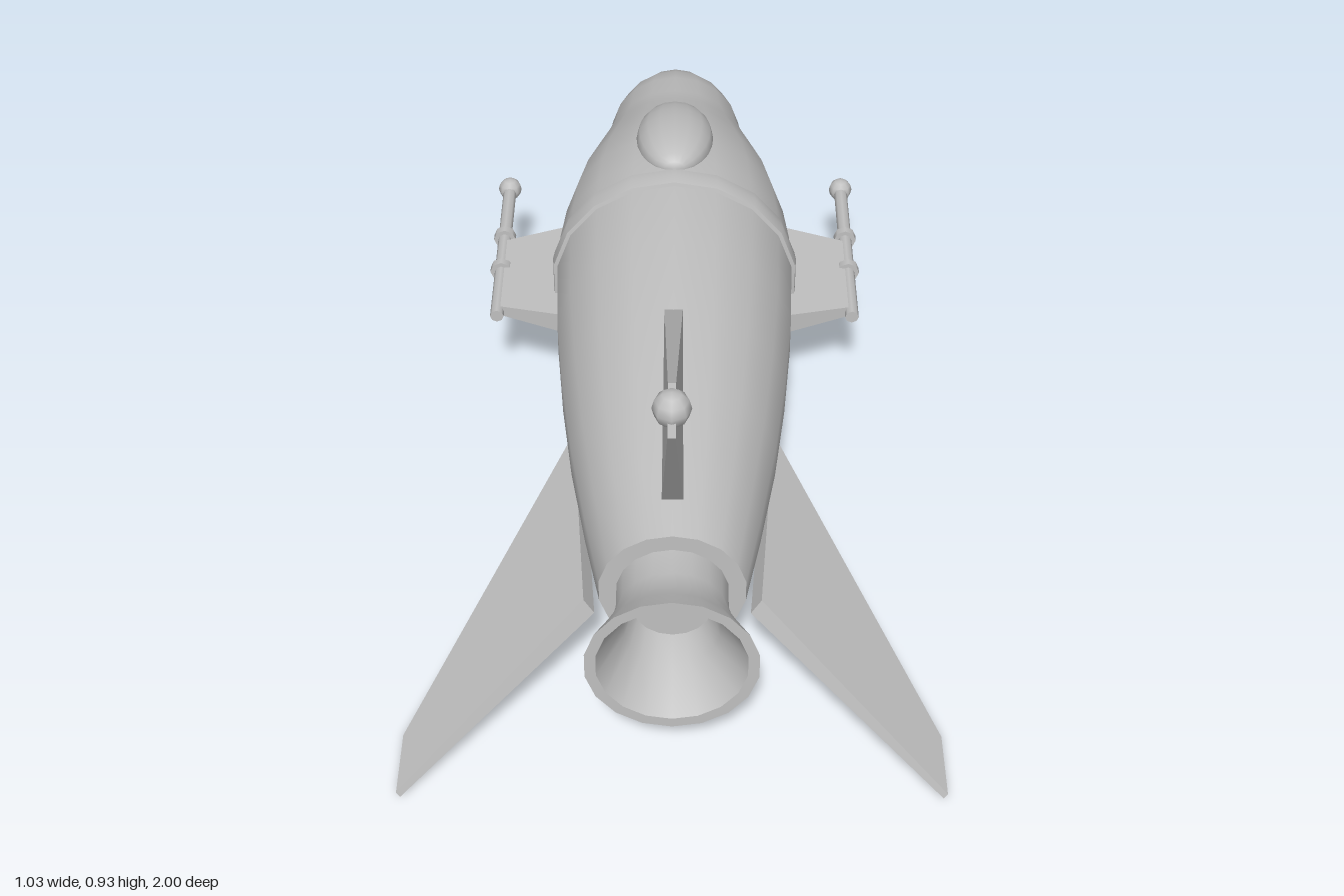
import * as THREE from 'three';
import { toCreasedNormals } from 'three/addons/utils/BufferGeometryUtils.js';
import { ConvexGeometry } from 'three/addons/geometries/ConvexGeometry.js';

const AXIS_Y = 0.305;

export function createModel() {
  const model = new THREE.Group();
  const grey = new THREE.MeshStandardMaterial({ color: 0xbfbfbf });
  grey.name = 'hull grey';

  const add = (name, geometry, parent = model) => {
    const mesh = new THREE.Mesh(geometry, grey);
    mesh.name = name;
    parent.add(mesh);
    return mesh;
  };

  // Turned part along z; profile is [z, radius] running from tail to nose
  const turned = (name, profile, sides = 18) => {
    const pts = profile.map(([z, r]) => new THREE.Vector2(r, -z));
    const geo = new THREE.LatheGeometry(pts, sides).rotateX(-Math.PI / 2);
    add(name, toCreasedNormals(geo, 0.6)).position.y = AXIS_Y;
  };

  // Tapered plate in the y-z plane; outline is [reach, z, halfThickness]
  const plate = (outline) => new ConvexGeometry(outline.flatMap(([r, z, t]) =>
    [new THREE.Vector3(-t, r, z), new THREE.Vector3(t, r, z)]));

  // Hull with closed tail, raised collar and pointed nose
  turned('hull', [
    [0.76, 0], [0.76, 0.14], [0.6, 0.172], [0.4, 0.207], [0.2, 0.233],
    [0, 0.252], [-0.19, 0.26], [-0.3, 0.258], [-0.4, 0.248], [-0.5, 0.228],
    [-0.6, 0.197], [-0.66, 0.178], [-0.72, 0.161], [-0.79, 0.152],
    [-0.85, 0.132], [-0.91, 0.099], [-0.96, 0.053], [-1, 0],
  ]);
  turned('collar', [[-0.185, 0.25], [-0.19, 0.268], [-0.215, 0.271], [-0.24, 0.268], [-0.26, 0.25]]);

  // Hollow flared engine nozzle
  turned('nozzle', [
    [0.8, 0], [0.8, 0.075], [0.86, 0.09], [0.95, 0.14], [0.95, 0.161],
    [0.9, 0.134], [0.86, 0.115], [0.82, 0.106], [0.75, 0.106],
  ]);

  // Cockpit bubble
  const canopy = add('canopy', new THREE.SphereGeometry(1, 16, 12).rotateX(Math.PI / 2));
  canopy.scale.set(0.085, 0.056, 0.162);
  canopy.position.set(0, 0.537, -0.412);
  canopy.rotation.x = -0.17;

  // Three swept tail fins
  const finShape = plate([
    [0.23, 0.2, 0.0185], [0.185, 0.71, 0.02], [0.59, 1, 0.007], [0.59, 0.86, 0.007],
  ]);
  ['topFin', 'rightFin', 'leftFin'].forEach((name, i) => {
    const fin = add(name, finShape);
    fin.position.y = AXIS_Y;
    fin.rotation.z = i * Math.PI * 2 / 3;
  });
  add('finBall', new THREE.SphereGeometry(0.034, 8, 6)).position.set(0, 0.904, 0.935);

  // Side winglets, each carrying a long gun
  const wingShape = plate([
    [0.2, -0.45, 0.028], [0.2, -0.095, 0.028], [0.385, -0.155, 0.012], [0.385, -0.4, 0.012],
  ]);
  for (const side of [1, -1]) {
    const group = new THREE.Group();
    group.name = side > 0 ? 'leftWing' : 'rightWing';
    add('winglet', wingShape, group).rotation.z = -side * Math.PI / 2;
    const rod = (name, radius, length, z) => {
      const geo = new THREE.CylinderGeometry(radius, radius, length, 8).rotateX(Math.PI / 2);
      add(name, geo, group).position.set(side * 0.39, 0, z);
    };
    rod('gunBarrel', 0.015, 0.49, -0.38);
    rod('rearClamp', 0.025, 0.018, -0.305);
    rod('frontClamp', 0.025, 0.018, -0.428);
    add('gunTip', new THREE.SphereGeometry(0.027, 8, 6), group).position.set(side * 0.39, 0, -0.622);
    group.position.y = 0.252;
    model.add(group);
  }

  return model;
}
